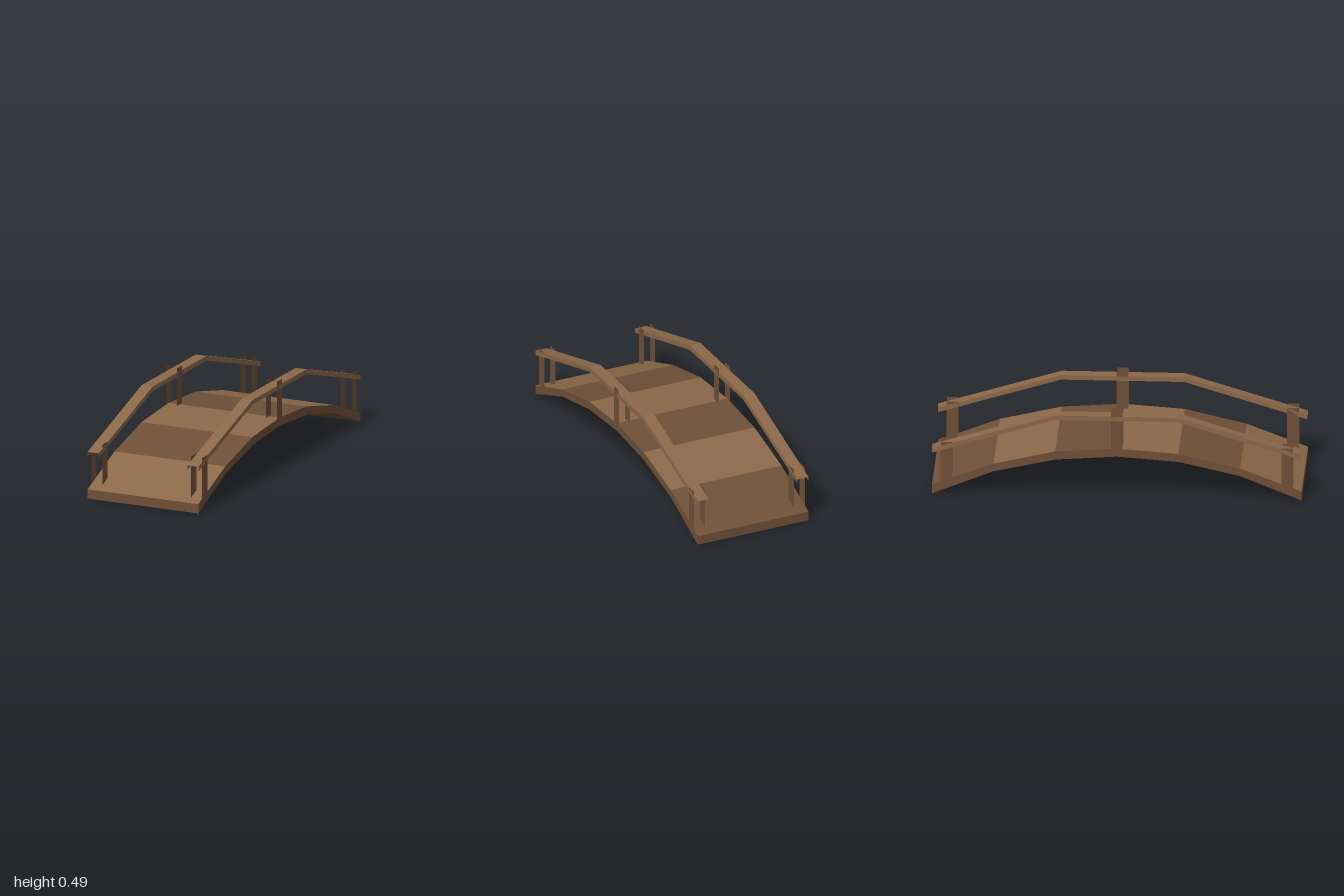
import * as THREE from 'three';

const HALF = 0.333;   // half width of the deck
const INNER = 0.267;  // inner edge of the handrails

// arch profiles as [z, y]
const DECK_TOP = [[-1, 0.052], [-0.667, 0.179], [-0.333, 0.257], [0, 0.28], [0.333, 0.257], [0.667, 0.179], [1, 0.052]];
const DECK_BOTTOM = [[-1, 0], [-0.667, 0.135], [-0.333, 0.21], [0, 0.234], [0.333, 0.21], [0.667, 0.135], [1, 0]];
const RAIL_TOP = [[-1, 0.262], [-0.333, 0.465], [0.333, 0.465], [1, 0.262]];
const RAIL_DEPTH = 0.026;

const wood = (color) => new THREE.MeshStandardMaterial({ color, flatShading: true, side: THREE.DoubleSide });

// place a profile at a given x
const row = (profile, x, dy = 0) => profile.map(([z, y]) => [x, y + dy, z]);

// strip of flat quads between two rows of points
function ribbon(name, a, b, material) {
  const pos = [];
  for (let i = 0; i < a.length - 1; i++) {
    pos.push(...a[i], ...b[i], ...b[i + 1], ...a[i], ...b[i + 1], ...a[i + 1]);
  }
  const geo = new THREE.BufferGeometry();
  geo.setAttribute('position', new THREE.Float32BufferAttribute(pos, 3));
  geo.computeVertexNormals();
  const mesh = new THREE.Mesh(geo, material);
  mesh.name = name;
  return mesh;
}

export function createModel() {
  const light = wood(0x8b6849);
  const dark = wood(0x6f5038);
  const model = new THREE.Group();
  model.name = 'archedFootbridge';

  // deck: alternating planks on a closed arched slab
  const deck = new THREE.Group();
  deck.name = 'deck';
  for (let i = 0; i < DECK_TOP.length - 1; i++) {
    const span = DECK_TOP.slice(i, i + 2);
    deck.add(ribbon('deckPlank', row(span, HALF), row(span, -HALF), i % 2 ? light : dark));
  }
  deck.add(ribbon('deckUnderside', row(DECK_BOTTOM, -HALF), row(DECK_BOTTOM, HALF), dark));
  deck.add(ribbon('deckSide', row(DECK_BOTTOM, HALF), row(DECK_TOP, HALF), dark));
  deck.add(ribbon('deckSide', row(DECK_TOP, -HALF), row(DECK_BOTTOM, -HALF), dark));
  for (const s of [-1, 1]) {
    const end = [[s, 0], [s, 0.052]];
    deck.add(ribbon('deckEnd', row(end, -HALF * s), row(end, HALF * s), dark));
  }
  model.add(deck);

  // each side: an open channel handrail clasped by pairs of thin boards
  const posts = [
    { z: -0.922, base: 0.07, top: 0.3 },
    { z: 0, base: 0.255, top: 0.49 },
    { z: 0.922, base: 0.07, top: 0.3 },
  ];
  for (const s of [-1, 1]) {
    const side = new THREE.Group();
    side.name = s > 0 ? 'leftRailing' : 'rightRailing';
    const hi = s > 0 ? HALF : -INNER;
    const lo = s > 0 ? INNER : -HALF;
    side.add(ribbon('handrailTop', row(RAIL_TOP, hi), row(RAIL_TOP, lo), light));
    side.add(ribbon('handrailSide', row(RAIL_TOP, hi, -RAIL_DEPTH), row(RAIL_TOP, hi), light));
    side.add(ribbon('handrailSide', row(RAIL_TOP, lo), row(RAIL_TOP, lo, -RAIL_DEPTH), light));
    for (const x of [hi, lo]) {
      for (const { z, base, top } of posts) {
        const post = new THREE.Mesh(new THREE.PlaneGeometry(0.064, top - base), dark);
        post.name = 'railingPost';
        post.rotation.y = s * Math.PI / 2;
        post.position.set(x, (top + base) / 2, z);
        side.add(post);
      }
    }
    model.add(side);
  }
  return model;
}
